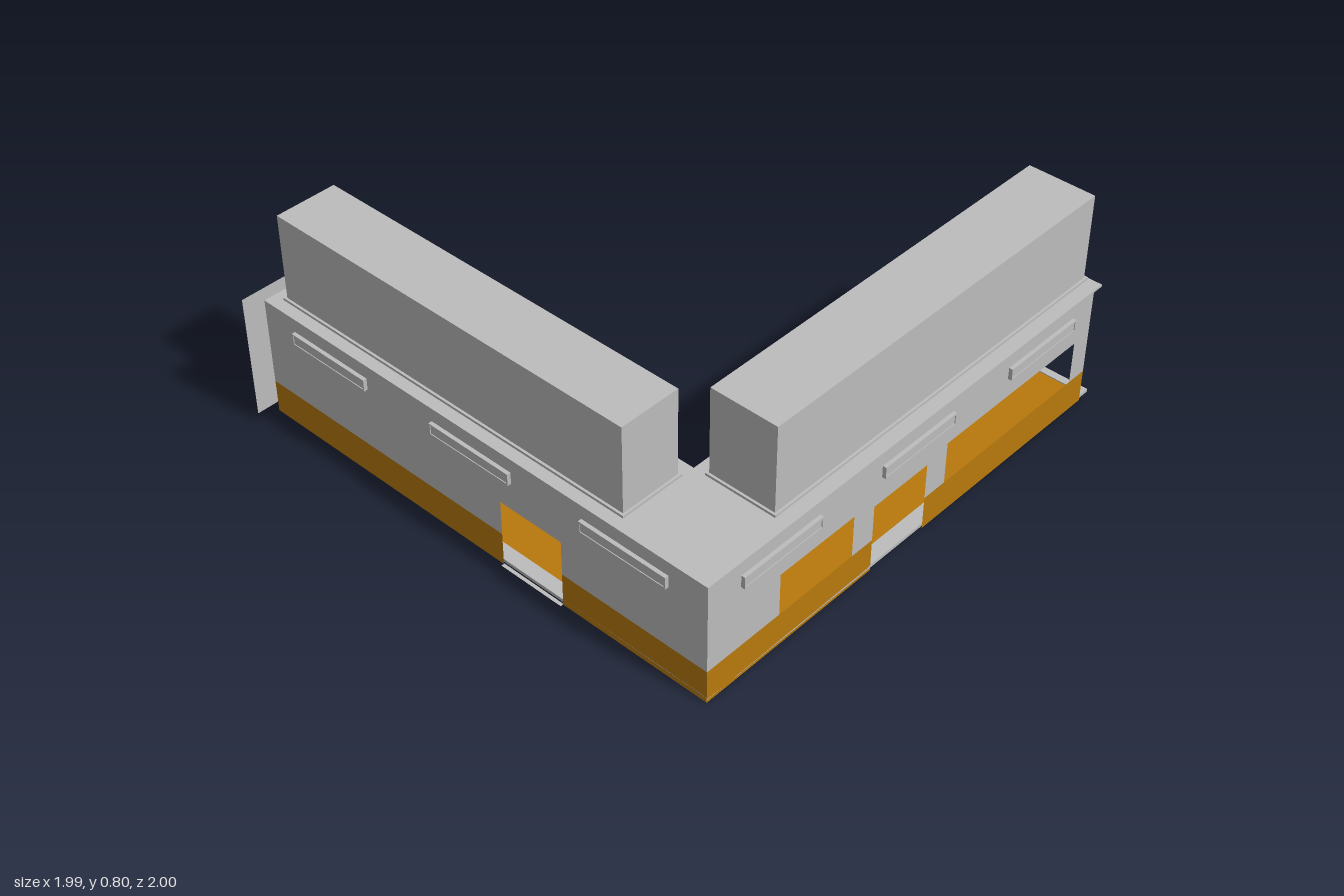
import * as THREE from 'three';

export function createModel() {
  const root = new THREE.Group();
  const grey = new THREE.MeshStandardMaterial({ color: 0xbcbcbc, side: THREE.DoubleSide });
  grey.name = 'panelGrey';
  const orange = new THREE.MeshStandardMaterial({ color: 0xb8790c, side: THREE.DoubleSide });
  orange.name = 'bandOrange';

  const add = (parent, name, geo, mat, x = 0, y = 0, z = 0) => {
    const m = new THREE.Mesh(geo, mat);
    m.name = name;
    m.position.set(x, y, z);
    parent.add(m);
    return m;
  };
  const poly = pts => new THREE.Shape(pts.map(p => new THREE.Vector2(...p)));
  const rect = (a, b, c, d) => poly([[a, c], [b, c], [b, d], [a, d]]);
  const BAND = 0.127, TOP = 0.46;

  // Thin wall drawn along local x: openings are [start, end, top, isDoor]
  function wall(name, a, b, openings, vents) {
    const g = new THREE.Group();
    g.name = name;
    const pts = [[a, BAND]];
    for (const [s, e, t] of openings) pts.push([s, BAND], [s, t], [e, t], [e, BAND]);
    pts.push([b, BAND], [b, TOP], [a, TOP]);
    add(g, 'upperWall', new THREE.ShapeGeometry(poly(pts)), grey);
    let start = a;
    const bands = [];
    for (const [s, e, , door] of openings) if (door) { bands.push(rect(start, s, 0, BAND)); start = e; }
    bands.push(rect(start, b, 0, BAND));
    add(g, 'lowerBand', new THREE.ShapeGeometry(bands), orange);
    // raised vent: frame with a slightly sunken face
    for (const c of vents) {
      const frame = rect(c - 0.174, c + 0.174, 0.367, 0.412);
      frame.holes.push(rect(c - 0.168, c + 0.168, 0.373, 0.406));
      add(g, 'ventFrame', new THREE.ExtrudeGeometry(frame, { depth: 0.024, bevelEnabled: false }), grey, 0, 0, -0.01);
      add(g, 'ventFace', new THREE.BoxGeometry(0.336, 0.033, 0.018), grey, c, 0.3895, 0.002);
    }
    root.add(g);
    return g;
  }
  wall('frontWall', -0.96, 0.98, [[0.13, 0.39, 0.26, true]], [-0.64, 0.01, 0.655]).position.z = 0.917;
  const side = wall('sideWall', -0.917, 0.955,
    [[-0.6, -0.262, 0.29, false], [-0.165, 0.095, 0.265, true], [0.195, 0.875, 0.29, false]],
    [-0.602, 0.037, 0.672]);
  side.rotation.y = Math.PI / 2;
  side.position.x = 0.98;

  // Flat L-shaped sheets, drawn in x and z
  const lShape = (x0, x1, xi, z0, z1, zi) =>
    poly([[x0, z1], [x1, z1], [x1, z0], [xi, z0], [xi, zi], [x0, zi]]);
  const lay = (name, geo, mat, y) => { add(root, name, geo, mat, 0, y, 0).rotation.x = Math.PI / 2; };

  // Floor: grey border, orange walkway and a hatch opening near the end
  const border = lShape(-0.96, 0.98, 0.61, -1, 0.917, 0.572);
  const walkway = () => poly([[-0.93, 0.865], [0.925, 0.865], [0.925, -0.97], [0.675, -0.97],
    [0.675, 0.61], [0.65, 0.635], [-0.93, 0.635]]);
  border.holes.push(walkway());
  const path = walkway();
  path.holes.push(rect(-0.86, -0.63, 0.665, 0.815));
  lay('floorBorder', new THREE.ExtrudeGeometry(border, { depth: 0.012, bevelEnabled: false }), grey, 0.022);
  lay('floorWalkway', new THREE.ShapeGeometry(path), orange, 0.018);
  lay('doorSill', new THREE.ShapeGeometry(rect(0.13, 0.39, 0.915, 0.928)), grey, 0.001);

  // Roof sheet, open under both housings
  const roof = lShape(-0.96, 0.98, 0.61, -1, 0.917, 0.572);
  roof.holes.push(rect(-0.9, 0.597, 0.635, 0.86), rect(0.668, 0.917, -0.977, 0.56));
  lay('roof', new THREE.ExtrudeGeometry(roof, { depth: 0.008, bevelEnabled: false }), grey, 0.464);

  // Roof housing: open-bottomed box with base flange and tapered hanging tanks
  function housing(name, length, width, offsets) {
    const g = new THREE.Group();
    g.name = name;
    const l = length / 2, w = width / 2, h = 0.335;
    const ring = (out) => {
      const s = rect(-l - out, l + out, -w - out, w + out);
      s.holes.push(rect(-l + 0.004, l - 0.004, -w + 0.004, w - 0.004));
      return s;
    };
    const flat = { bevelEnabled: false };
    add(g, 'housingSides', new THREE.ExtrudeGeometry(ring(0), { ...flat, depth: h }), grey, 0, h, 0).rotation.x = Math.PI / 2;
    add(g, 'housingFlange', new THREE.ExtrudeGeometry(ring(0.009), { ...flat, depth: 0.009 }), grey, 0, 0.01, 0).rotation.x = Math.PI / 2;
    add(g, 'housingTop', new THREE.BoxGeometry(length, 0.006, width), grey, 0, h - 0.003, 0);
    const tank = poly([[-0.08, h - 0.01], [-0.055, 0.11], [-0.04, 0.09], [0.04, 0.09], [0.055, 0.11], [0.08, h - 0.01]]);
    for (const o of offsets)
      add(g, 'hangingTank', new THREE.ExtrudeGeometry(tank, { ...flat, depth: width - 0.01 }), grey, o, 0, -w + 0.005);
    root.add(g);
    return g;
  }
  const offsets = [-0.525, -0.175, 0.175, 0.525];
  housing('frontHousing', 1.507, 0.234, offsets).position.set(-0.152, 0.464, 0.748);
  const sideHousing = housing('sideHousing', 1.546, 0.256, offsets);
  sideHousing.rotation.y = Math.PI / 2;
  sideHousing.position.set(0.793, 0.464, -0.208);

  // End panel with a ragged hole; local x runs along -z
  const N = 28, cy = 0.33, cz = 0.772;
  const jag = i => 0.115 + 0.012 * Math.sin(i * 2.4) + 0.007 * Math.sin(i * 5.1 + 1);
  const loop = [...Array(N).keys()].map(i => {
    const a = i / N * Math.PI * 2;
    return [-cz + Math.cos(a) * jag(i), cy + Math.sin(a) * jag(i)];
  });
  const end = new THREE.Group();
  end.name = 'endWall';
  const panel = rect(-1, -0.575, 0.035, 0.51);
  panel.holes.push(poly(loop));
  add(end, 'endPanel', new THREE.ShapeGeometry(panel), grey);
  // torn rim bent outward around the hole
  const pos = [], idx = [];
  loop.forEach(([x, y], i) => {
    const k = 1.04 + 0.06 * Math.sin(i * 3.7);
    pos.push(x, y, 0, -cz + (x + cz) * k, cy + (y - cy) * k, -0.026 - 0.01 * Math.sin(i * 2.9));
    const a = 2 * i, b = 2 * ((i + 1) % N);
    idx.push(a, b, a + 1, b, b + 1, a + 1);
  });
  const rim = new THREE.BufferGeometry();
  rim.setAttribute('position', new THREE.Float32BufferAttribute(pos, 3));
  rim.setIndex(idx);
  const torn = rim.toNonIndexed();
  torn.computeVertexNormals();
  add(end, 'tornRim', torn, grey);
  end.rotation.y = Math.PI / 2;
  end.position.x = -0.963;
  root.add(end);

  return root;
}
